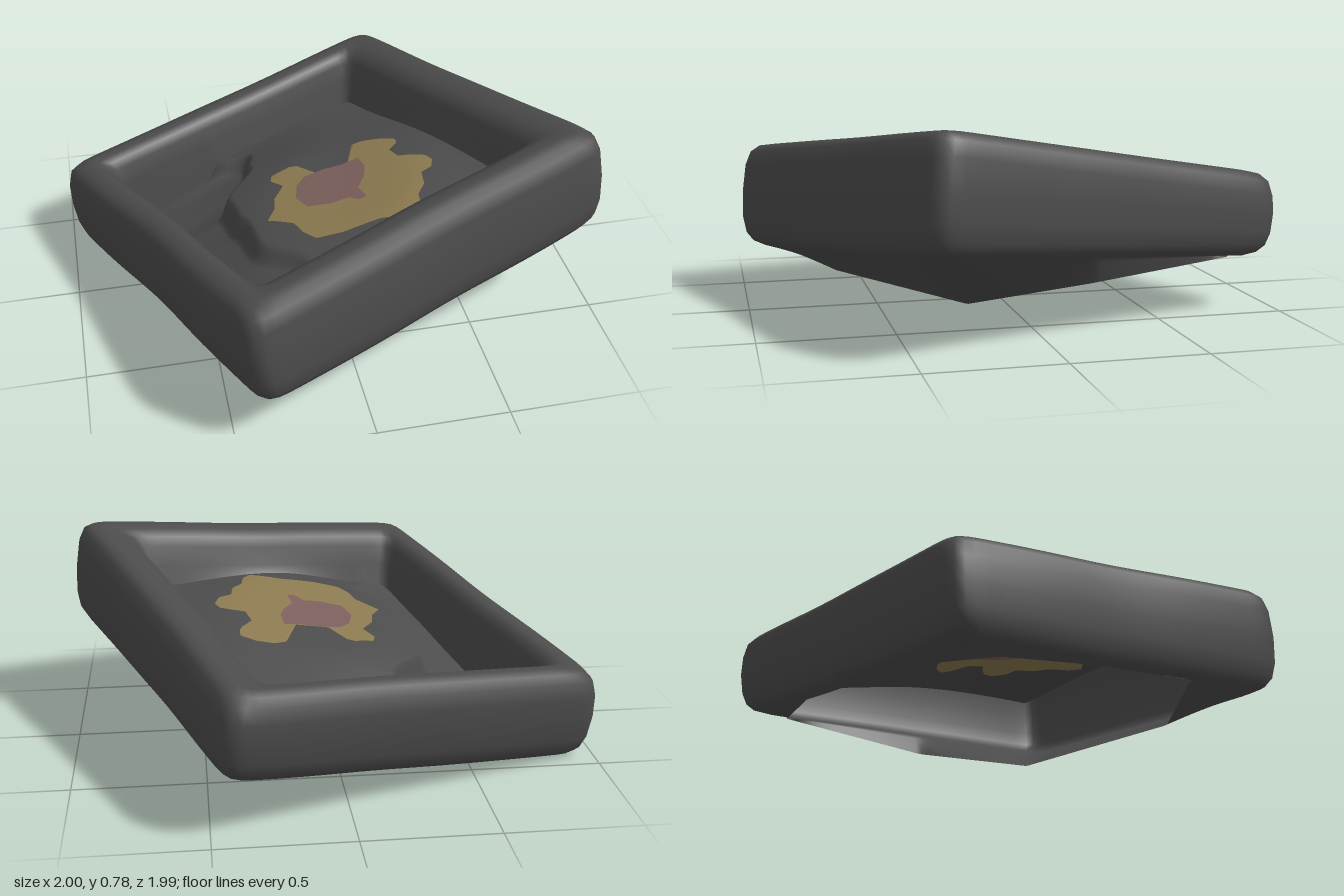
import * as THREE from 'three';

const COS = 0.93, SIN = 0.37;            // tray is turned about the vertical axis
const N = 192;                           // points around each ring
const INNER = [-0.03, -0.025];           // the hollow sits slightly off centre
const toWorld = (p, q) => [p * COS + q * SIN, -p * SIN + q * COS];
const toLocal = (x, z) => [x * COS - z * SIN, x * SIN + z * COS];
const rimHeight = (x, z) => 0.565 + 0.18 * x + 0.115 * z;   // tilted rim plane
const { smoothstep, clamp } = THREE.MathUtils;

// Edge of the sunken pocket: [q, p] pairs, joined smoothly
const STEP = [[-0.7, -0.24], [-0.6, -0.16], [-0.5, -0.05], [-0.35, -0.13], [-0.19, -0.33],
  [0, -0.37], [0.22, -0.41], [0.41, -0.34], [0.5, -0.41], [0.6, -0.55], [0.8, -0.6]];
function stepEdge(q) {
  const i = Math.max(1, STEP.findIndex(s => q <= s[0]));
  const [q0, p0] = STEP[i - 1], [q1, p1] = STEP[i];
  return p0 + (p1 - p0) * smoothstep(q, q0, q1);
}

// Depth of the floor below the rim plane: low dome, and a pocket sloping down to one wall
function floorDepth(p, q) {
  const [x, z] = toWorld(p, q), edge = stepEdge(q);
  const dome = 0.14 + 0.09 * smoothstep(Math.hypot(x - 0.05, z - 0.1), 0.25, 0.8);
  const slope = clamp((edge - p) / (edge + 0.64), 0, 1);
  const pocket = 0.235 - 0.09 * q + (0.065 - 0.02 * q) * slope;
  const t = smoothstep(p - edge, -0.035, 0.02);
  return pocket + (dome - pocket) * t + 0.005 * Math.sin(9 * p + 2) * Math.sin(8 * q);
}
function floorY(x, z) {
  return rimHeight(x, z) - floorDepth(...toLocal(x, z));
}

// Point where a ray from the centre crosses a polygon of corners
function rayHit(pts, cx, cz, ang) {
  const dx = Math.cos(ang), dz = Math.sin(ang);
  let best = null, far = -1;
  pts.forEach((a, i) => {
    const b = pts[(i + 1) % pts.length];
    const ca = (a[0] - cx) * dz - (a[1] - cz) * dx, cb = (b[0] - cx) * dz - (b[1] - cz) * dx;
    if ((ca > 0) === (cb > 0)) return;
    const t = ca / (ca - cb), hit = a.map((v, k) => v + (b[k] - v) * t);
    const d = (hit[0] - cx) * dx + (hit[1] - cz) * dz;
    if (d > far) { far = d; best = hit; }
  });
  return best;
}

// Skin between closed rings; ring(i, angle) gives a point [x, y, z]
function loft(count, ring, flip = false) {
  const pos = [], idx = [];
  for (let i = 0; i < count; i++)
    for (let j = 0; j < N; j++) pos.push(...ring(i, (j / N) * Math.PI * 2));
  for (let i = 0; i < count - 1; i++)
    for (let j = 0; j < N; j++) {
      const k = (j + 1) % N, a = i * N + j, b = a + N, c = i * N + k, d = c + N;
      if (flip) idx.push(a, b, c, c, b, d);
      else idx.push(a, c, b, c, d, b);
    }
  const g = new THREE.BufferGeometry();
  g.setAttribute('position', new THREE.Float32BufferAttribute(pos, 3));
  g.setIndex(idx);
  g.computeVertexNormals();
  return g;
}

// Rounded square ring in tray coordinates, sides slightly hollow and uneven
function squarePoint(half, ang) {
  const c = Math.cos(ang), s = Math.sin(ang), n = 28;
  const r = half / Math.pow(Math.abs(c) ** n + Math.abs(s) ** n, 1 / n);
  const w = 1 - 0.007 * (1 + Math.cos(4 * ang)) + 0.003 * Math.sin(7 * ang + 1);
  return [r * c * w, r * s * w];
}

// Wall profile: [half width, depth below the rim plane, share of wall height]
const WALL = [[0.57, 0, 0], [0.59, 0.13, 0], [0.607, 0.055, 0], [0.625, 0.02, 0], [0.66, 0.003, 0],
  [0.7, 0, 0], [0.737, 0.008, 0], [0.764, 0.035, 0], [0.778, 0.09, 0], [0.783, 0, 0.5],
  [0.778, 0, 0.76], [0.765, 0, 0.91], [0.742, 0, 0.99], [0.705, 0, 1.03]];
// Opening in the underside: [x, z, y]
const OPENING = [[0.47, -0.79, 0.215], [0.64, -0.19, 0.18], [0.32, 0.2, 0.05], [-0.1, 0.66, 0.12],
  [-0.56, 0.58, 0.135], [-0.65, -0.18, 0.07], [-0.47, -0.56, 0.06], [-0.26, -0.69, 0.12]];
const UNDER = 6;

function wallPoint(i, ang) {
  const [half, fixed, share] = WALL[i];
  const inner = clamp((0.7 - half) / 0.08, 0, 1);
  let [p, q] = squarePoint(half, ang);
  p += INNER[0] * inner;
  q += INNER[1] * inner;
  // Wall height varies by corner
  const u = p / 0.77, v = q / 0.77;
  const height = 0.367 - 0.008 * u + 0.038 * v + 0.013 * u * v + 0.012 * (1 - u * u);
  const depth = i === 0 ? floorDepth(p, q) : fixed + share * height;
  const [x, z] = toWorld(p, q), lean = (1 - inner) * (depth - 0.12);
  return [x + 0.1 * lean, rimHeight(x, z) - depth, z + 0.08 * lean];
}

// Underside runs from the wall foot to the opening
function shellPoint(i, ang) {
  if (i < WALL.length) return wallPoint(i, ang);
  const a = wallPoint(WALL.length - 1, ang), t = (i - WALL.length + 1) / UNDER;
  const [x, z, y] = rayHit(OPENING, 0, 0, Math.atan2(a[2], a[0]));
  return [a[0] + (x - a[0]) * t, a[1] + (y - a[1]) * t, a[2] + (z - a[2]) * t];
}

// Painted patch that follows the floor at a small offset
function patch(outline, cx, cz, lift) {
  const rings = 14;
  return loft(rings + 1, (i, ang) => {
    const [hx, hz] = rayHit(outline, cx, cz, ang), t = i / rings;
    const x = cx + (hx - cx) * t, z = cz + (hz - cz) * t;
    return [x, floorY(x, z) + lift, z];
  }, lift < 0);
}

const YELLOW = [[0.17, -0.19], [0.22, -0.21], [0.29, -0.2], [0.35, -0.17], [0.35, -0.12], [0.3, -0.06],
  [0.32, 0.01], [0.37, 0.02], [0.42, 0.04], [0.44, 0.08], [0.42, 0.14], [0.37, 0.17], [0.36, 0.25],
  [0.32, 0.31], [0.31, 0.39], [0.28, 0.44], [0.15, 0.41], [0, 0.43], [-0.1, 0.42], [-0.14, 0.36],
  [-0.16, 0.29], [-0.21, 0.25], [-0.25, 0.22], [-0.21, 0.15], [-0.2, 0.08], [-0.15, 0], [-0.19, -0.06],
  [-0.18, -0.1], [-0.1, -0.13], [-0.06, -0.12], [-0.07, -0.04], [0, -0.03], [0.12, -0.04], [0.16, -0.08]];
const RED = [[-0.06, -0.02], [0.02, -0.04], [0.1, -0.04], [0.17, -0.06], [0.18, 0.02], [0.16, 0.09],
  [0.12, 0.16], [0.135, 0.24], [0.1, 0.245], [0.07, 0.21], [0, 0.22], [-0.09, 0.2], [-0.12, 0.12], [-0.1, 0.03]];

export function createModel() {
  const group = new THREE.Group();
  const material = (name, color) => {
    const m = new THREE.MeshStandardMaterial({ color, side: THREE.DoubleSide });
    m.name = name;
    return m;
  };
  const gray = material('dark gray', 0x4c4c4c);
  const yellow = material('dull yellow', 0x8c7a50);
  const red = material('dull red', 0x7c5f5c);
  const add = (name, geometry, mat) => {
    const m = new THREE.Mesh(geometry, mat);
    m.name = name;
    group.add(m);
  };

  // Rim, walls and open underside
  add('trayShell', loft(WALL.length + UNDER, shellPoint), gray);

  // Floor with dome and pocket
  const floor = new THREE.PlaneGeometry(1.17, 1.17, 100, 100).rotateX(-Math.PI / 2);
  const v = floor.attributes.position;
  for (let i = 0; i < v.count; i++) {
    const [p, q] = [v.getX(i) + INNER[0], v.getZ(i) + INNER[1]];
    const [x, z] = toWorld(p, q);
    v.setXYZ(i, x, floorY(x, z), z);
  }
  floor.computeVertexNormals();
  add('trayFloor', floor, gray);

  // Colour patches on both faces of the floor
  for (const [side, s] of [['upper', 1], ['lower', -1]]) {
    add(side + 'YellowPatch', patch(YELLOW, 0.08, 0.12, 0.004 * s), yellow);
    add(side + 'RedPatch', patch(RED, 0.03, 0.08, 0.008 * s), red);
  }
  return group;
}
